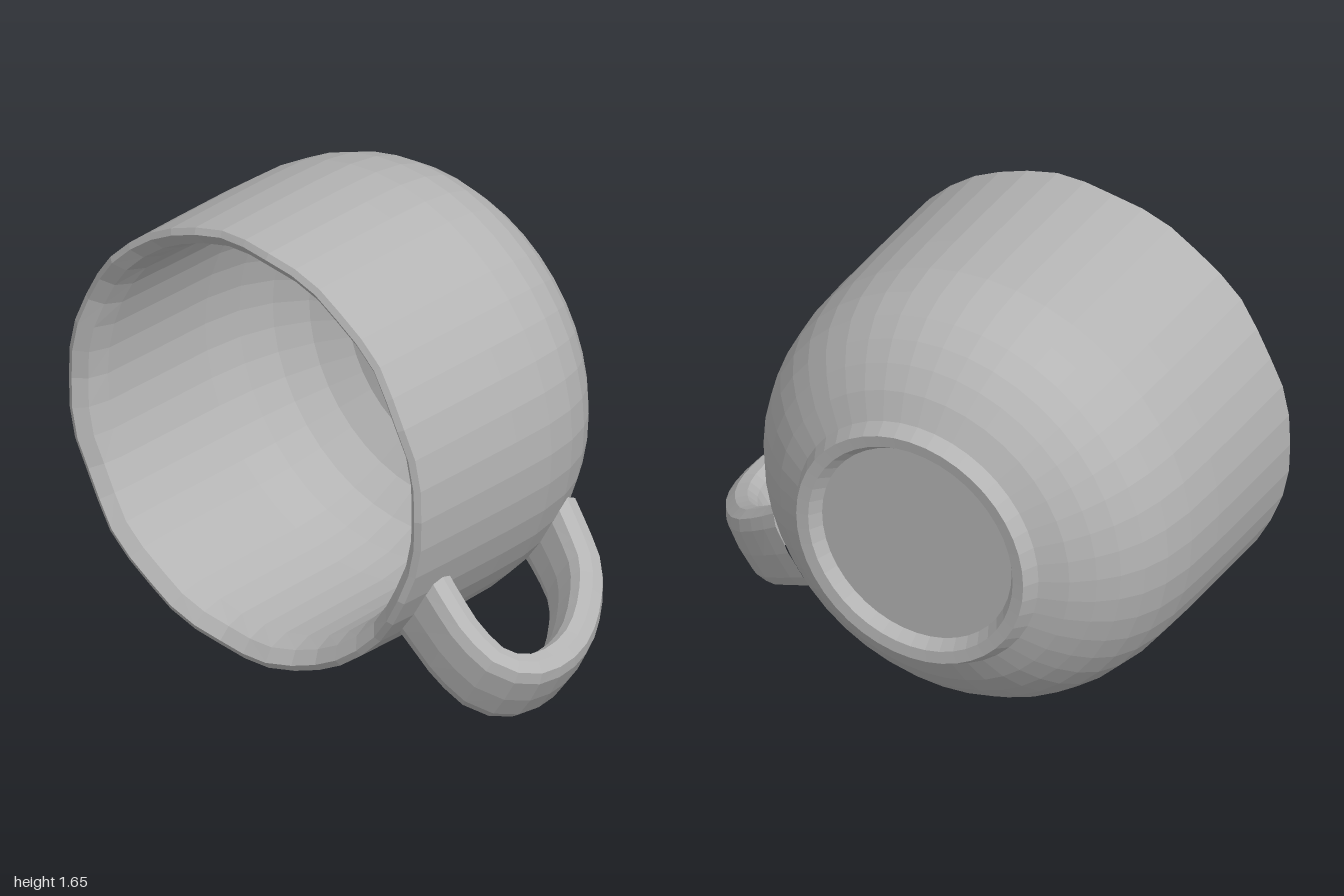
import * as THREE from 'three';

const CENTER = [-0.175, 0.828, 0];

// Closed cup wall as [radius, depth]: recessed base, foot, outside, lip, inside
const WALL = [
  [0, -0.57], [0.38, -0.57], [0.41, -0.615], [0.455, -0.62], [0.485, -0.565],
  [0.58, -0.515], [0.655, -0.455], [0.715, -0.39], [0.765, -0.31], [0.8, -0.21],
  [0.82, -0.08], [0.825, 0.1], [0.825, 0.35], [0.823, 0.6], [0.8, 0.612],
  [0.755, 0.575], [0.73, 0.5], [0.725, 0.25], [0.722, 0], [0.7, -0.15],
  [0.65, -0.27], [0.57, -0.37], [0.46, -0.445], [0.3, -0.475], [0, -0.485],
];

// Handle centre line as [distance from cup axis, depth]
const HANDLE = [
  [0.76, -0.26], [0.88, -0.225], [1.0, -0.175], [1.12, -0.06], [1.21, 0.08],
  [1.245, 0.21], [1.235, 0.34], [1.165, 0.43], [1.02, 0.455], [0.89, 0.44], [0.765, 0.42],
];

function cupGeometry() {
  const geo = new THREE.LatheGeometry(WALL.map(([r, d]) => new THREE.Vector2(r, d)), 44);
  // Slightly uneven lip
  const p = geo.attributes.position;
  for (let i = 0; i < p.count; i++) {
    if (p.getY(i) > 0.56) {
      const a = Math.atan2(p.getX(i), p.getZ(i));
      p.setY(i, p.getY(i) + 0.006 * Math.sin(a * 13) + 0.004 * Math.sin(a * 7));
    }
  }
  geo.rotateX(Math.PI / 2);
  geo.computeVertexNormals();
  return geo;
}

// Sweep a rounded-rectangle section along the handle curve
function handleGeometry() {
  const curve = new THREE.CatmullRomCurve3(HANDLE.map(([r, z]) => new THREE.Vector3(r, 0, z)));
  const rings = 18, sides = 12, pos = [], index = [];
  const soft = (v) => Math.sign(v) * Math.pow(Math.abs(v), 0.65);
  for (let i = 0; i <= rings; i++) {
    const c = curve.getPointAt(i / rings), t = curve.getTangentAt(i / rings);
    const flare = 1 + 0.15 * Math.pow(Math.abs(2 * i / rings - 1), 4);
    for (let j = 0; j < sides; j++) {
      const a = (j / sides) * Math.PI * 2;
      const n = 0.067 * soft(Math.cos(a)), w = 0.142 * flare * soft(Math.sin(a));
      pos.push(c.x + t.z * n, w, c.z - t.x * n);
      if (i < rings) {
        const k = (j + 1) % sides, p = i * sides, q = p + sides;
        index.push(p + j, p + k, q + j, p + k, q + k, q + j);
      }
    }
  }
  const geo = new THREE.BufferGeometry();
  geo.setAttribute('position', new THREE.Float32BufferAttribute(pos, 3));
  geo.setIndex(index);
  geo.computeVertexNormals();
  return geo;
}

export function createModel() {
  const group = new THREE.Group();
  group.name = 'mug';
  const clay = new THREE.MeshStandardMaterial({ color: 0xb4b4b4, flatShading: true });
  clay.name = 'grey clay';

  const cup = new THREE.Mesh(cupGeometry(), clay);
  cup.name = 'cup';
  cup.position.set(...CENTER);

  // Handle points outward and down to the left
  const handle = new THREE.Mesh(handleGeometry(), clay);
  handle.name = 'handle';
  handle.position.set(...CENTER);
  handle.rotation.z = THREE.MathUtils.degToRad(-32.5);

  group.add(cup, handle);
  return group;
}
